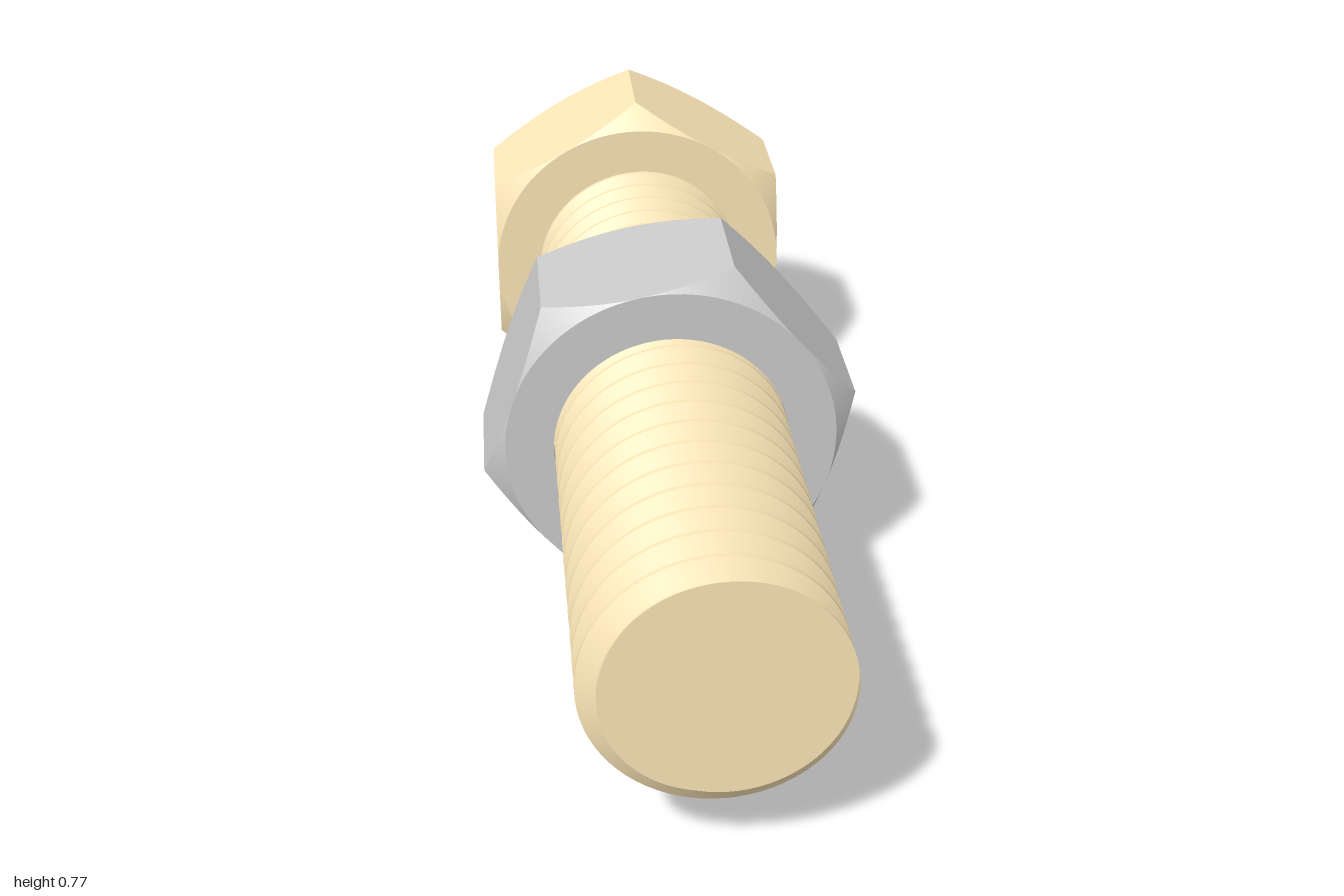
import * as THREE from 'three';
import { toCreasedNormals } from 'three/addons/utils/BufferGeometryUtils.js';

const AXIS_Y = 0.385;
const TAU = Math.PI * 2;

// Skin of columns around the z axis; column(theta) returns a list of [radius, z]
function wrap(column, segments) {
  const positions = [], indices = [];
  let rows = 0;
  for (let j = 0; j <= segments; j++) {
    const theta = (j / segments) * TAU;
    const points = column(theta);
    rows = points.length;
    for (const [r, z] of points) positions.push(r * Math.cos(theta), r * Math.sin(theta), z);
  }
  for (let j = 0; j < segments; j++) {
    for (let i = 0; i < rows - 1; i++) {
      const a = j * rows + i, b = a + rows;
      indices.push(a, b, a + 1, b, b + 1, a + 1);
    }
  }
  const geometry = new THREE.BufferGeometry();
  geometry.setAttribute('position', new THREE.Float32BufferAttribute(positions, 3));
  geometry.setIndex(indices);
  return toCreasedNormals(geometry, 0.4);
}

// Hexagonal prism, both ends chamfered by a 45 degree cone, with an optional bore
function hexBlock(z0, z1, bore = 0) {
  const flat = 0.333, sector = Math.PI / 3;
  return wrap((theta) => {
    const r = flat / Math.cos((theta % sector) - sector / 2);
    const drop = r - flat;
    const column = [[bore, z0], [flat, z0], [r, z0 + drop], [r, z1 - drop], [flat, z1], [bore, z1]];
    if (bore) column.push([bore, z0]);
    return column;
  }, 96);
}

// Right-handed helical thread, cut square at both ends
function threadedRod(z0, z1, minor, major, pitch, phase) {
  const crest = 1 / 16, root = 3 / 8; // ends of crest and flank, in pitches from the crest centre
  const radiusAt = (u) => {
    const d = Math.abs(u - Math.round(u));
    return THREE.MathUtils.lerp(major, minor, THREE.MathUtils.clamp((d - crest) / (root - crest), 0, 1));
  };
  const turns = Math.ceil((z1 - z0) / pitch) + 2;
  return wrap((theta) => {
    const shift = (theta - phase) / TAU;
    const column = [[0, z0]];
    for (let k = -turns; k <= 1; k++) {
      for (const stop of [-root, -crest, crest, root]) {
        const z = THREE.MathUtils.clamp(z1 + (k + stop + shift) * pitch, z0, z1);
        column.push([radiusAt((z - z1) / pitch - shift), z]);
      }
    }
    column.push([0, z1]);
    return column;
  }, 72);
}

export function createModel() {
  const group = new THREE.Group();
  group.name = 'boltAndNut';
  const brass = new THREE.MeshStandardMaterial({ color: 0xfde7b8 });
  const steel = new THREE.MeshStandardMaterial({ color: 0xcccccc });

  const add = (name, geometry, material, turn = 0) => {
    const mesh = new THREE.Mesh(geometry, material);
    mesh.name = name;
    mesh.position.y = AXIS_Y;
    mesh.rotation.z = turn;
    group.add(mesh);
  };

  // Bolt head with a corner pointing up
  add('boltHead', hexBlock(-1, -0.67), brass, Math.PI / 6);
  // Threaded shank running from the head to the front
  add('threadedShank', threadedRod(-0.68, 1, 0.2, 0.235, 0.0727, 0.61), brass);
  // Nut, slightly turned relative to the head
  add('nut', hexBlock(-0.147, 0.186, 0.236), steel, THREE.MathUtils.degToRad(10.9));

  return group;
}
